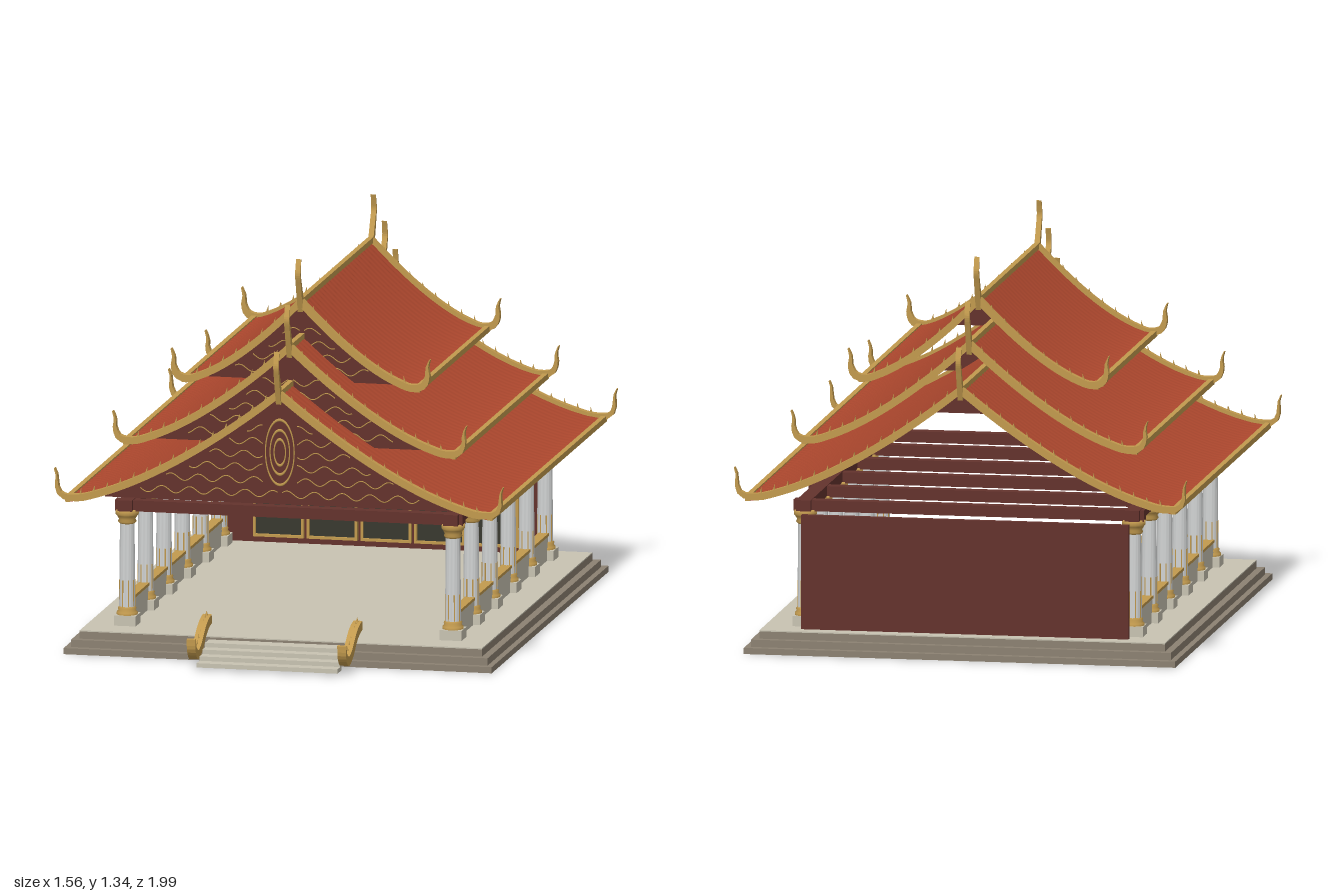
import * as THREE from 'three';

const mat = (name, color, side = THREE.FrontSide) => {
  const m = new THREE.MeshStandardMaterial({ color, side });
  m.name = name;
  return m;
};

export function createModel() {
  const root = new THREE.Group();
  root.name = 'temple';
  const tile = mat('roofTile', 0xa8452c, THREE.DoubleSide);
  const gold = mat('gold', 0xc29a4e);
  const maroon = mat('maroonWood', 0x64332d, THREE.DoubleSide);
  const stone = mat('baseStone', 0x8c8172);
  const pale = mat('paleStone', 0xc8c3b2);
  const white = mat('columnWhite', 0xd2d4d4);
  const dark = mat('doorDark', 0x38382f);

  const group = (name) => {
    const g = new THREE.Group();
    g.name = name;
    root.add(g);
    return g;
  };
  const add = (parent, name, geo, material, x = 0, y = 0, z = 0) => {
    const m = new THREE.Mesh(geo, material);
    m.name = name;
    m.position.set(x, y, z);
    parent.add(m);
    return m;
  };
  // box given by its bottom and top height
  const block = (parent, name, material, w, y0, y1, d, x = 0, z = 0) =>
    add(parent, name, new THREE.BoxGeometry(w, y1 - y0, d), material, x, (y0 + y1) / 2, z);

  // flat band of varying half width along a smooth path, centred in depth
  const ribbon = (pts, half, depth, steps = 28) => {
    const curve = new THREE.CatmullRomCurve3(pts.map(([x, y]) => new THREE.Vector3(x, y, 0)));
    const a = [], b = [];
    for (let i = 0; i <= steps; i++) {
      const u = i / steps, p = curve.getPointAt(u), t = curve.getTangentAt(u), h = half(u);
      a.push(new THREE.Vector2(p.x - t.y * h, p.y + t.x * h));
      b.unshift(new THREE.Vector2(p.x + t.y * h, p.y - t.x * h));
    }
    const geo = new THREE.ExtrudeGeometry(new THREE.Shape([...a, ...b]), { depth, bevelEnabled: false });
    return geo.translate(0, 0, -depth / 2);
  };

  // stepped platform and floor
  const base = group('platform');
  block(base, 'lowerStep', stone, 1.49, 0, 0.021, 1.79, 0, -0.07);
  block(base, 'middleStep', stone, 1.45, 0.021, 0.046, 1.74, 0, -0.07);
  block(base, 'upperStep', stone, 1.4, 0.046, 0.071, 1.69, 0, -0.07);
  block(base, 'floor', pale, 1.4, 0.071, 0.075, 1.69, 0, -0.07);

  // front stairs with serpentine rails
  const stairs = group('frontStairs');
  for (let i = 0; i < 4; i++) {
    block(stairs, 'tread', pale, 0.49, 0.008 + i * 0.015, 0.023 + i * 0.015, 0.06, 0, 0.957 - i * 0.043);
  }
  const railPath = [[0.995, 0.107], [0.985, 0.07], [0.95, 0.045], [0.9, 0.058], [0.83, 0.105], [0.79, 0.122], [0.745, 0.13]];
  const spike = new THREE.ConeGeometry(0.005, 0.024, 5);
  for (const s of [-1, 1]) {
    const rail = add(stairs, 'stairRail', ribbon(railPath, (u) => 0.004 + 0.012 * Math.min(1, u * 4), 0.03), gold, s * 0.262);
    rail.rotation.y = -Math.PI / 2;
    for (let i = 0; i < 7; i++) {
      const z = 0.93 - i * 0.025;
      add(stairs, 'railSpike', spike, gold, s * 0.262, 0.065 + i * 0.0125, z);
    }
    add(stairs, 'railPost', new THREE.ConeGeometry(0.013, 0.04, 8), gold, s * 0.262, 0.14, 0.76);
  }

  // fluted columns
  const columnZ = [0.633, 0.352, 0.07, -0.212, -0.494, -0.777];
  const shaft = new THREE.CylinderGeometry(0.025, 0.028, 0.33, 32, 1);
  const sp = shaft.attributes.position;
  for (let i = 0; i < sp.count; i++) {
    const k = Math.round((Math.atan2(sp.getZ(i), sp.getX(i)) / Math.PI) * 16);
    const f = k % 2 ? 0.91 : 1;
    sp.setX(i, sp.getX(i) * f);
    sp.setZ(i, sp.getZ(i) * f);
  }
  shaft.computeVertexNormals();
  const lathe = (pts) => new THREE.LatheGeometry(pts.map(([r, y]) => new THREE.Vector2(r, y)), 20);
  const foot = lathe([[0.036, 0.11], [0.036, 0.118], [0.03, 0.124], [0.032, 0.132], [0.027, 0.138]]);
  const capital = lathe([[0.026, 0.425], [0.032, 0.432], [0.028, 0.44], [0.035, 0.452], [0.04, 0.458], [0.04, 0.474], [0, 0.474]]);
  const columns = group('columns');
  for (const s of [-1, 1]) for (const z of columnZ) {
    const x = s * 0.567;
    block(columns, 'columnPlinth', pale, 0.076, 0.075, 0.11, 0.076, x, z);
    add(columns, 'columnShaft', shaft, white, x, 0.285, z);
    add(columns, 'columnFoot', foot, gold, x, 0, z);
    add(columns, 'columnCapital', capital, gold, x, 0, z);
    for (let k = 0; k < 8; k++) {
      const a = ((k + 0.5) * Math.PI) / 4;
      const strip = block(columns, 'columnInlay', gold, 0.004, 0.135, 0.23, 0.004, x + 0.0255 * Math.cos(a), z + 0.0255 * Math.sin(a));
      strip.rotation.y = -a;
    }
  }

  // low side walls with gilded rails
  const sides = group('sideWalls');
  for (const s of [-1, 1]) {
    block(sides, 'lowWall', pale, 0.03, 0.075, 0.158, 1.41, s * 0.567, -0.072);
    block(sides, 'wallRail', gold, 0.036, 0.158, 0.168, 1.41, s * 0.567, -0.072);
  }

  // beams
  const beams = group('beams');
  for (const s of [-1, 1]) block(beams, 'sideBeam', maroon, 0.05, 0.472, 0.51, 1.49, s * 0.567, -0.072);
  for (const z of columnZ) block(beams, 'crossBeam', maroon, 1.21, 0.47, 0.508, 0.04, 0, z);

  // rear wall with five framed panels
  const rear = group('rearWall');
  block(rear, 'wall', maroon, 1.13, 0.075, 0.468, 0.02, 0, -0.858);
  for (let i = -2; i <= 2; i++) {
    const x = i * 0.187;
    block(rear, 'doorPanel', dark, 0.17, 0.1, 0.45, 0.008, x, -0.844);
    for (const s of [-1, 1]) {
      block(rear, 'frameSide', gold, 0.009, 0.097, 0.453, 0.02, x + s * 0.0835, -0.84);
      block(rear, 'frameRail', gold, 0.176, s > 0 ? 0.445 : 0.096, s > 0 ? 0.454 : 0.105, 0.02, x, -0.84);
    }
  }

  // three stacked roofs: half width, eave, ridge, front z, back z, gable foot
  const tiers = [
    { w: 0.735, eave: 0.537, ridge: 0.93, zf: 0.81, zb: -0.95, foot: 0.545, gw: 0.61 },
    { w: 0.57, eave: 0.71, ridge: 1.06, zf: 0.645, zb: -0.785, foot: 0.72, gw: 0.485 },
    { w: 0.405, eave: 0.9, ridge: 1.185, zf: 0.475, zb: -0.615, foot: 0.908, gw: 0.335 },
  ];
  tiers.forEach((r, n) => {
    const roof = group(['lowerRoof', 'middleRoof', 'upperRoof'][n]);
    const len = r.zf - r.zb, mid = (r.zf + r.zb) / 2;
    const height = (t) => r.eave + (r.ridge - r.eave) * Math.pow(Math.max(0, 1 - t), 1.5);
    // one slope; rib is the height of the tile ridges
    const slope = (s, rib, drop) => {
      const per = rib ? 4 : 1, rows = Math.round(len / 0.04);
      const geo = new THREE.PlaneGeometry(1, len, 14, rows * per).rotateX(-Math.PI / 2);
      const p = geo.attributes.position;
      for (let i = 0; i < p.count; i++) {
        const t = 0.5 + s * p.getX(i);
        const wave = Math.cos(((p.getZ(i) / len + 0.5) * rows) * 2 * Math.PI);
        p.setXYZ(i, s * t * r.w, height(t) + rib * wave - drop, p.getZ(i) + mid);
      }
      geo.computeVertexNormals();
      return geo;
    };
    for (const s of [-1, 1]) {
      add(roof, 'tiledSlope', slope(s, 0.004, 0), tile);
      add(roof, 'slopeUnderside', slope(s, 0, 0.012), tile);
      block(roof, 'eaveTrim', gold, 0.018, r.eave - 0.012, r.eave + 0.008, len, s * r.w, mid);
    }
    block(roof, 'ridgeTrim', gold, 0.018, r.ridge - 0.008, r.ridge + 0.012, len, 0, mid);

    for (const [z, dir] of [[r.zf, 1], [r.zb, -1]]) {
      // gilded gable edges with upturned tips and spikes
      for (const s of [-1, 1]) {
        const pts = [];
        for (let i = 0; i <= 9; i++) pts.push([s * r.w * i * 0.106, height(i * 0.106)]);
        for (const [dx, dy] of [[0.022, 0.012], [0.037, 0.045], [0.036, 0.075], [0.045, 0.103]]) pts.push([s * (r.w + dx), r.eave + dy]);
        add(roof, 'gableEdge', ribbon(pts, (u) => 0.012 * Math.min(1, 0.1 + (1 - u) * 6), 0.024, 44), gold, 0, 0, z - dir * 0.006);
        const count = Math.round(r.w / 0.045);
        for (let i = 1; i < count; i++) {
          const t = i / count;
          const sk = add(roof, 'edgeSpike', spike, gold, s * t * r.w, height(t) + 0.02, z - dir * 0.006);
          sk.rotation.z = s * 0.15;
        }
      }
      // horn finial on the ridge end
      const horn = [[-0.012, -0.03], [0.004, 0.01], [0.024, 0.06], [0.038, 0.1], [0.034, 0.125], [0.026, 0.152]]
        .map(([a, y]) => [z + dir * a, r.ridge + y]);
      add(roof, 'ridgeHorn', ribbon(horn, (u) => 0.014 * (1 - u) + 0.001, 0.018), gold).rotation.y = -Math.PI / 2;
    }

    // front gable board following the roof curve
    const edge = [];
    for (let i = -12; i <= 12; i++) {
      const t = (Math.abs(i) / 12) * (r.gw / r.w);
      edge.push(new THREE.Vector2((i / 12) * r.gw, Math.max(r.foot, height(t) - 0.012)));
    }
    edge.push(new THREE.Vector2(r.gw, r.foot), new THREE.Vector2(-r.gw, r.foot));
    const gz = r.zf - 0.022;
    add(roof, 'gableBoard', new THREE.ShapeGeometry(new THREE.Shape(edge)), maroon, 0, 0, gz);

    // thin gilded scrollwork
    for (let y = r.foot + 0.035, k = 0; y < r.ridge - 0.09; y += 0.045, k++) {
      const reach = r.w * (1 - Math.pow((y + 0.03 - r.eave) / (r.ridge - r.eave), 1 / 1.5)) - 0.01;
      const start = n === 0 && y > 0.6 && y < 0.85 ? 0.06 : 0.008;
      if (reach < start + 0.04) continue;
      for (const s of [-1, 1]) {
        const pts = [];
        const steps = Math.max(6, Math.round((reach - start) / 0.012));
        for (let i = 0; i <= steps; i++) {
          const x = start + ((reach - start) * i) / steps;
          pts.push(new THREE.Vector3(s * x, y + 0.012 * Math.sin(x * 65 + k * 2), 0));
        }
        const line = new THREE.TubeGeometry(new THREE.CatmullRomCurve3(pts), steps * 2, 0.0018, 4);
        add(roof, 'gableScroll', line, gold, 0, 0, gz + 0.002);
      }
    }
    // oval medallion on the lowest gable
    if (n === 0) for (const k of [1, 0.68, 0.4]) {
      const ring = add(roof, 'medallionRing', new THREE.TorusGeometry(0.05 * k, 0.0022, 6, 40), gold, 0, 0.725, gz + 0.003);
      ring.scale.y = 2.25;
    }
  });
  return root;
}
